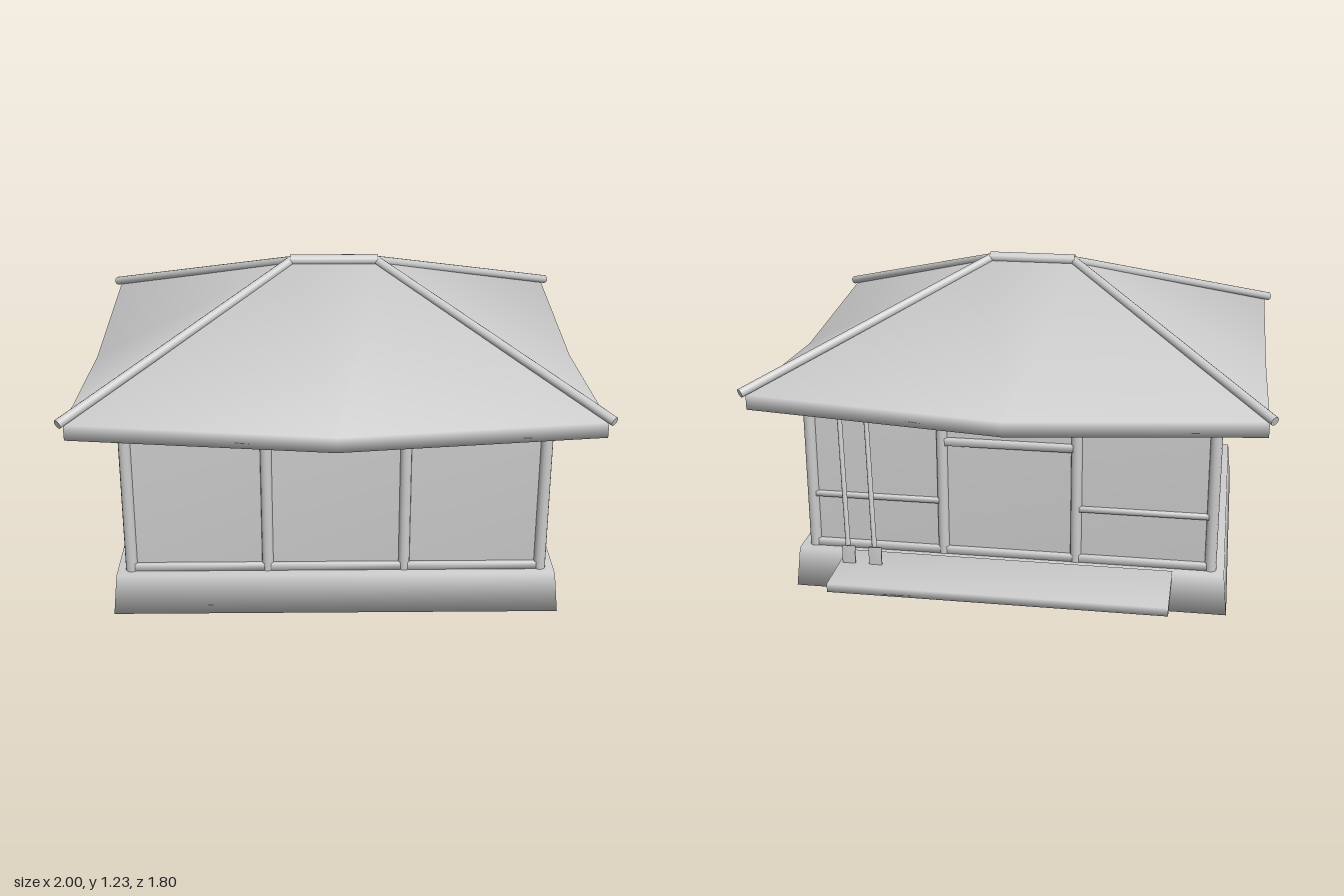
import * as THREE from 'three';
import { mergeVertices } from 'three/addons/utils/BufferGeometryUtils.js';

const stone = new THREE.MeshStandardMaterial({ color: 0xcccccc });
stone.name = 'pale grey';

const CZ = 0.072; // centre of the house in z
const PX = 0.786, PZ = 0.622; // half spans of the post grid

// Weld corners so shading runs softly over the edges
function soften(g) {
  g.deleteAttribute('normal');
  g.deleteAttribute('uv');
  const m = mergeVertices(g);
  m.computeVertexNormals();
  return m;
}

function add(parent, name, geometry) {
  const m = new THREE.Mesh(geometry, stone);
  m.name = name;
  parent.add(m);
  return m;
}

function box(parent, name, w, h, d, x, y, z) {
  const m = add(parent, name, soften(new THREE.BoxGeometry(w, h, d)));
  m.position.set(x, y, z);
  return m;
}

// Round bar between two points
function bar(parent, name, a, b, r, sides = 12) {
  const p = new THREE.Vector3(...a), q = new THREE.Vector3(...b);
  const m = add(parent, name, new THREE.CylinderGeometry(r, r, p.distanceTo(q), sides));
  m.position.copy(p).add(q).multiplyScalar(0.5);
  m.quaternion.setFromUnitVectors(new THREE.Vector3(0, 1, 0), q.sub(p).normalize());
  return m;
}

function buildBase(group) {
  const g = new THREE.BoxGeometry(1.71, 0.16, 1.375);
  const p = g.attributes.position;
  for (let i = 0; i < p.count; i++) {
    if (p.getY(i) > 0) {
      p.setX(i, p.getX(i) * 0.982);
      p.setZ(i, p.getZ(i) * 0.982);
    }
  }
  add(group, 'base', soften(g)).position.set(0, 0.08, CZ);
}

// One wall of three bays, facing +z in its own frame
function buildWall(name, half, railBays, door) {
  const wall = new THREE.Group();
  wall.name = name;
  const bay = half * 2 / 3;
  for (let i = -1; i <= 1; i++) {
    const x = i * bay;
    box(wall, 'panel', bay, 0.55, 0.016, x, 0.465, -0.006);
    box(wall, 'sill', bay, 0.03, 0.034, x, 0.175, 0);
    box(wall, 'topBeam', bay, 0.03, 0.034, x, 0.74, 0);
    if (railBays.includes(i)) box(wall, 'middleRail', bay, 0.02, 0.034, x, 0.385, 0);
    if (door && i === 0) box(wall, 'doorLintel', bay, 0.03, 0.034, x, 0.635, 0);
  }
  // inner posts
  for (const s of [-1, 1]) bar(wall, 'post', [s * bay / 2, 0.15, 0], [s * bay / 2, 0.79, 0], 0.022);
  return wall;
}

function buildWalls(group) {
  const front = buildWall('frontWall', PX, [], false);
  front.position.z = CZ + PZ;
  const back = buildWall('backWall', PX, [-1, 1], true);
  back.position.z = CZ - PZ;
  back.rotation.y = Math.PI;
  group.add(front, back);
  for (const s of [-1, 1]) {
    const side = buildWall(s > 0 ? 'leftWall' : 'rightWall', PZ, [-1, 1], false);
    side.position.set(s * PX, 0, CZ);
    side.rotation.y = s * Math.PI / 2;
    group.add(side);
    for (const t of [-1, 1]) {
      bar(group, 'cornerPost', [s * PX, 0.15, CZ + t * PZ], [s * PX, 0.8, CZ + t * PZ], 0.023);
    }
  }
}

function buildRoof(group) {
  // eave outline from above: corners raised, middles sagging
  const ring = [[1, 1], [1, 0], [1, -1], [0, -1], [-1, -1], [-1, 0], [-1, 1], [0, 1]];
  const pts = [], idx = [];
  for (const drop of [0, 0.06]) {
    for (const [x, z] of ring) {
      pts.push(x * 0.97, (x && z ? 0.85 : 0.795) - drop, CZ + z * 0.803);
    }
  }
  pts.push(0.17, 1.205, CZ, -0.17, 1.205, CZ, 0, 0.79, CZ);
  const R = 16, L = 17, C = 18;
  for (let i = 0; i < 8; i++) {
    const j = (i + 1) % 8;
    idx.push(i, j, i >= 3 && i <= 6 ? L : R); // slopes
    idx.push(i, i + 8, j + 8, i, j + 8, j); // eave edge
    idx.push(j + 8, i + 8, C); // underside
  }
  idx.push(3, L, R, 7, R, L);
  const g = new THREE.BufferGeometry();
  g.setAttribute('position', new THREE.Float32BufferAttribute(pts, 3));
  g.setIndex(idx);
  g.computeVertexNormals();
  add(group, 'roof', g);

  // ridge and hips
  bar(group, 'ridge', [-0.175, 1.208, CZ], [0.175, 1.208, CZ], 0.022);
  for (const s of [-1, 1]) {
    for (const t of [-1, 1]) {
      bar(group, 'hip', [s * 0.17, 1.205, CZ], [s * 0.987, 0.858, CZ + t * 0.815], 0.018);
    }
  }
}

function buildPorch(group) {
  box(group, 'porchDeck', 1.285, 0.034, 0.295, 0, 0.152, -0.7525);
  box(group, 'porchStep', 0.42, 0.042, 0.155, 0, 0.1, -0.693);
  // long-handled tools leaning on the back wall
  for (const x of [0.605, 0.5]) {
    const tool = new THREE.Group();
    tool.name = 'leaningTool';
    bar(tool, 'handle', [x, 0.1, -0.712], [x + 0.052, 0.78, -0.582], 0.01, 8);
    box(tool, 'head', 0.045, 0.08, 0.028, x, 0.128, -0.71);
    box(tool, 'blade', 0.05, 0.1, 0.01, x, 0.19, -0.714);
    group.add(tool);
  }
}

export function createModel() {
  const group = new THREE.Group();
  group.name = 'pavilion';
  buildBase(group);
  buildWalls(group);
  buildRoof(group);
  buildPorch(group);
  return group;
}
